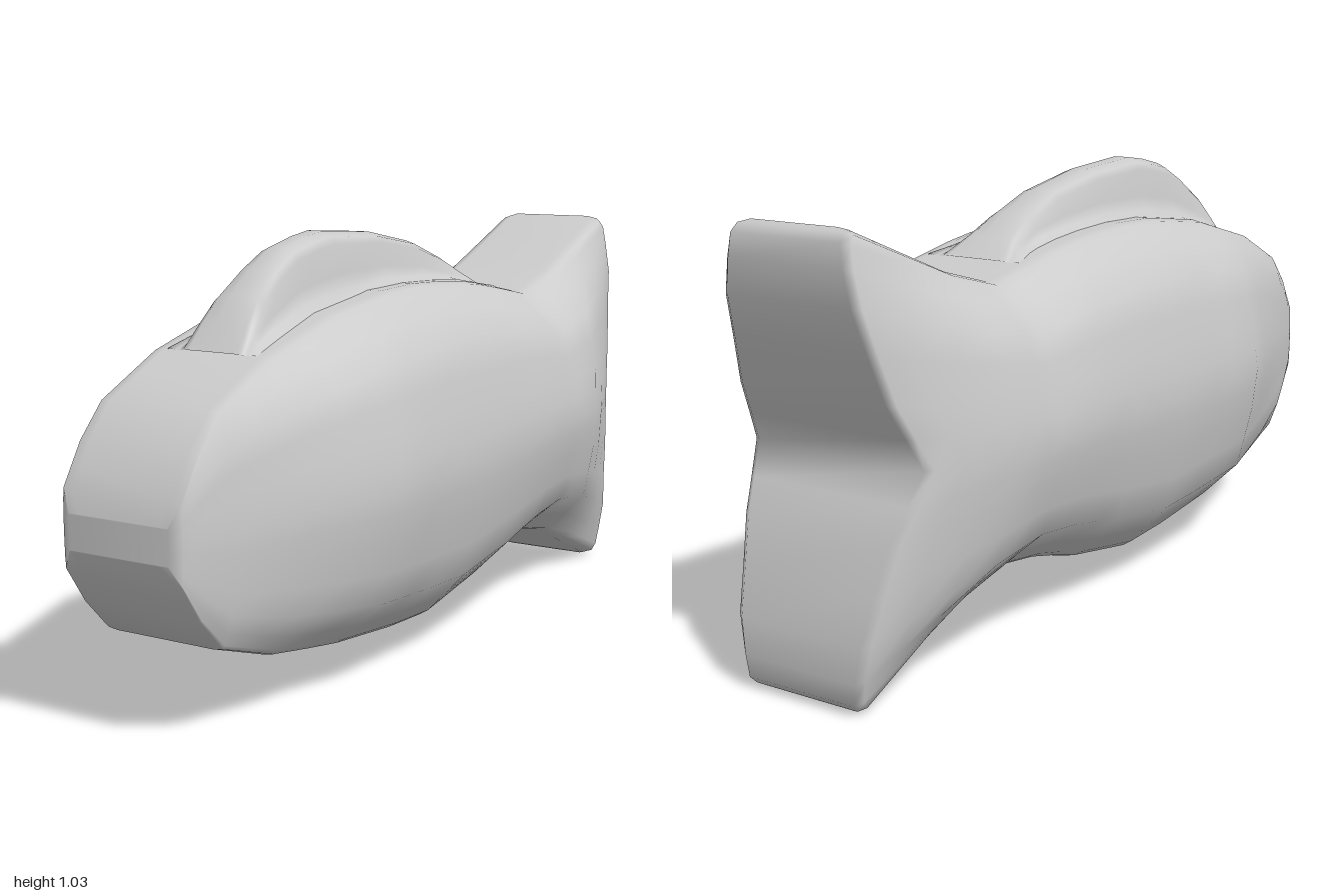
import * as THREE from 'three';

// Linear lookup in a table of [key, value] pairs with rising keys
function lookup(table, k) {
  if (k <= table[0][0]) return table[0][1];
  for (let i = 1; i < table.length; i++) {
    const [k0, v0] = table[i - 1], [k1, v1] = table[i];
    if (k <= k1) return v0 + (v1 - v0) * (k - k0) / (k1 - k0);
  }
  return table[table.length - 1][1];
}

// Back and belly heights along z
const TOP = [[-0.97, 1], [-0.65, 0.87], [-0.49, 0.825], [-0.36, 0.85], [-0.22, 0.875], [0, 0.893],
  [0.2, 0.887], [0.43, 0.857], [0.68, 0.79], [0.86, 0.705], [0.93, 0.63], [0.985, 0.54], [1, 0.49]];
const BELLY = [[-0.97, 0], [-0.65, 0.14], [-0.49, 0.177], [-0.33, 0.155], [-0.18, 0.11], [0.05, 0.07],
  [0.2, 0.077], [0.43, 0.1], [0.67, 0.14], [0.86, 0.205], [0.93, 0.28], [0.985, 0.365], [1, 0.41]];
// Greatest half width along z
const WIDTH = [[-1, 0.18], [-0.98, 0.19], [-0.65, 0.31], [-0.36, 0.327], [0.43, 0.327], [0.985, 0.155], [1, 0.14]];
// Side bulge by distance from mid height, and the notched tail edge
const BULGE = [[0, 1], [0.29, 0.92], [0.695, 0.7], [0.95, 0.13], [0.985, 0], [1, 0]];
const TAIL_EDGE = [[0, -0.85], [0.3, -0.93], [0.7, -0.992], [0.92, -1], [0.97, -0.99], [1, -0.965]];
const LEVELS = [1, 0.985, 0.95, 0.85, 0.695, 0.5, 0.29, 0.14];

// Surface through rows of points, optionally closing each row into a ring with caps
function loft(rows, ring) {
  const m = rows[0].length, n = rows.length, index = [];
  for (let i = 0; i < n - 1; i++) {
    for (let j = 0; j < (ring ? m : m - 1); j++) {
      const a = i * m + j, b = i * m + (j + 1) % m, c = a + m, d = b + m;
      index.push(a, b, c, b, d, c);
    }
  }
  if (ring) {
    const last = (n - 1) * m;
    for (let k = 0; k < m / 2 - 1; k++) {
      const p = k, q = k + 1, r = m - 1 - k, s = m - 2 - k;
      index.push(p, r, q, q, r, s);
      index.push(last + p, last + q, last + r, last + q, last + s, last + r);
    }
  }
  const g = new THREE.BufferGeometry();
  g.setAttribute('position', new THREE.Float32BufferAttribute(rows.flat(2), 3));
  g.setIndex(index);
  g.computeVertexNormals();
  return g;
}

// One body section: +x side downwards, then the mirrored side upwards
function bodyRing(rimZ, zAt, inset = 0) {
  const top = lookup(TOP, rimZ), belly = lookup(BELLY, rimZ);
  const levels = [...LEVELS, 0, ...LEVELS.map(v => -v).reverse()];
  const half = levels.map(v => {
    const h = Math.abs(v), z = zAt(h), w = lookup(WIDTH, z), rim = Math.min(0.152, w);
    const x = rim + (w - rim) * lookup(BULGE, h) - (h === 1 ? 0.025 : 0) - inset;
    const y = (top + belly) / 2 + v * (top - belly) / 2;
    return [x, y, z];
  });
  return [...half, ...half.map(([x, y, z]) => [-x, y, z]).reverse()];
}

function bodyGeometry() {
  const rows = [bodyRing(1, () => 1, 0.012)];
  for (const z of [0.985, 0.96, 0.93, 0.86, 0.77, 0.68, 0.55, 0.43, 0.3, 0.2, 0.05, -0.08, -0.18, -0.26, -0.36, -0.43, -0.49]) {
    rows.push(bodyRing(z, () => z));
  }
  // tail sections gradually take on the notched edge
  for (const t of [0.12, 0.33, 0.55, 0.78, 0.97, 1]) {
    rows.push(bodyRing(-0.49 - 0.48 * t, h => -0.49 + (lookup(TAIL_EDGE, h) + 0.49) * t, t === 1 ? 0.014 : 0));
  }
  return loft(rows, true);
}

// Dorsal fin stations: z, crest height, crest half width
const FIN = [[0.68, 0.792, 0.075], [0.63, 0.85, 0.07], [0.58, 0.905, 0.065], [0.5, 0.96, 0.06], [0.43, 0.998, 0.056],
  [0.35, 1.016, 0.056], [0.28, 1.026, 0.056], [0.08, 1.013, 0.056], [-0.1, 0.98, 0.056], [-0.22, 0.935, 0.058],
  [-0.3, 0.893, 0.065], [-0.37, 0.85, 0.085]];

function finGeometry() {
  const rows = FIN.map(([z, crest, w]) => {
    const base = lookup(TOP, z), rise = crest - base;
    const half = [[0.02, crest], [w - 0.012, crest - 0.08 * rise], [w, crest - 0.2 * rise],
      [w + 0.008, base + 0.35 * rise], [w + 0.018, base + 0.12 * rise], [w + 0.04, base + 0.003], [w + 0.05, base - 0.02]];
    const right = half.map(([x, y]) => [x, y, z]);
    return [...right.map(([x, y]) => [-x, y, z]).reverse(), ...right];
  });
  return loft(rows, false);
}

export function createModel() {
  const model = new THREE.Group();
  model.name = 'fish';
  const add = (name, geometry, side) => {
    const mesh = new THREE.Mesh(geometry, new THREE.MeshStandardMaterial({ color: 0xcccccc, side }));
    mesh.name = name;
    model.add(mesh);
  };
  add('bodyAndTail', bodyGeometry(), THREE.FrontSide);
  add('dorsalFin', finGeometry(), THREE.DoubleSide);
  return model;
}
